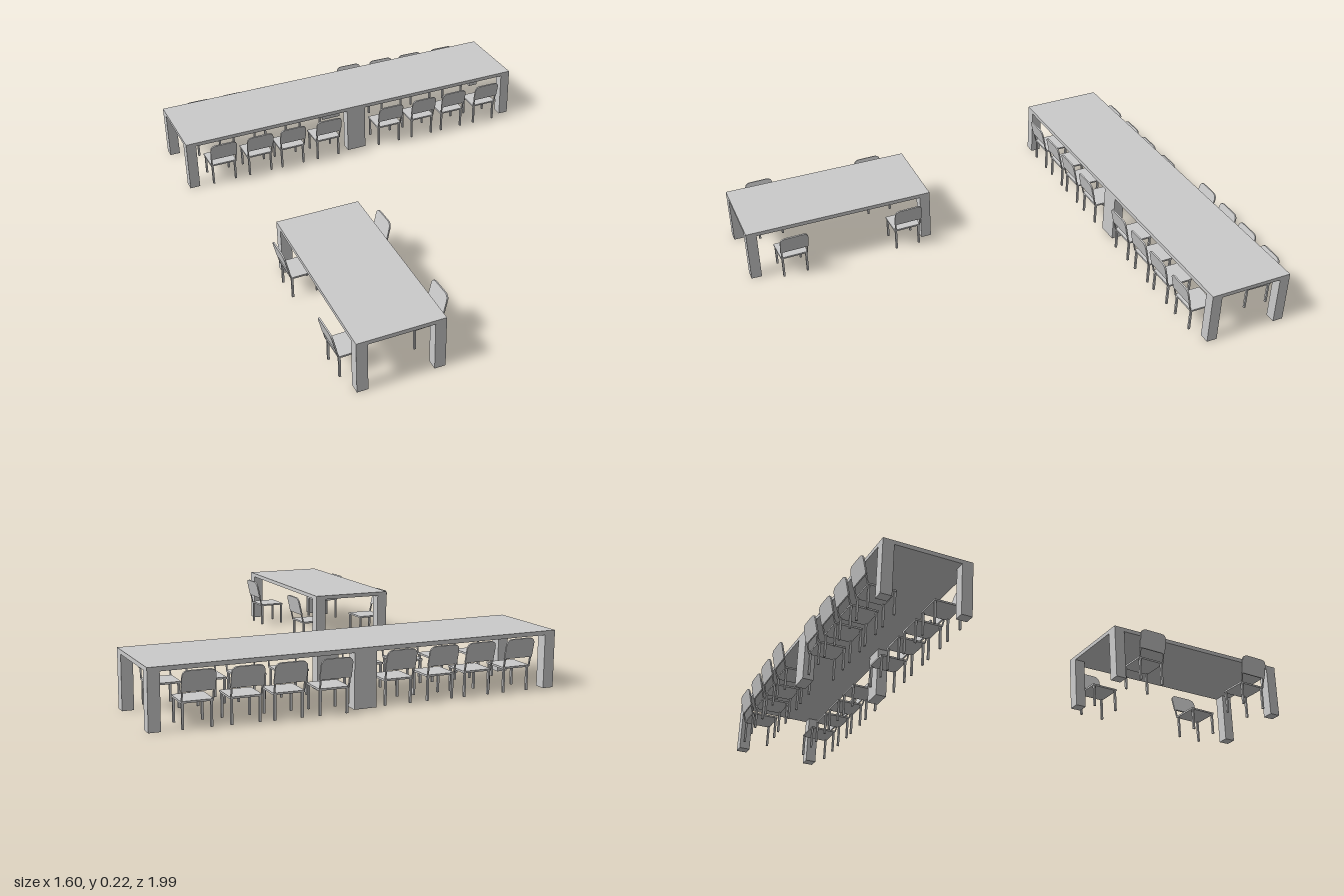
import * as THREE from 'three';

const material = new THREE.MeshStandardMaterial({ color: 0xcccccc, flatShading: true });
const rad = THREE.MathUtils.degToRad;

function box(name, w, h, d, x, y, z) {
  const mesh = new THREE.Mesh(new THREE.BoxGeometry(w, h, d), material);
  mesh.name = name;
  mesh.position.set(x, y, z);
  return mesh;
}

// Table with its long side on local x and square legs flush with the corners
function makeTable(length, width) {
  const table = new THREE.Group();
  const leg = 0.043, height = 0.217, top = 0.016;
  table.add(box('tableTop', length, top, width, 0, height - top / 2, 0));
  for (const sx of [-1, 1]) for (const sz of [-1, 1]) {
    table.add(box('tableLeg', leg, height - top, leg,
      sx * (length - leg) / 2, (height - top) / 2, sz * (width - leg) / 2));
  }
  return table;
}

// Back panel with rounded upper corners
function backGeometry(w, h, r, t) {
  const s = new THREE.Shape();
  s.moveTo(-w / 2, 0);
  s.lineTo(w / 2, 0);
  s.lineTo(w / 2, h - r);
  s.quadraticCurveTo(w / 2, h, w / 2 - r, h);
  s.lineTo(-w / 2 + r, h);
  s.quadraticCurveTo(-w / 2, h, -w / 2, h - r);
  s.closePath();
  return new THREE.ExtrudeGeometry(s, { depth: t, bevelEnabled: false, curveSegments: 5 })
    .translate(0, 0, -t / 2);
}
const panel = backGeometry(0.118, 0.076, 0.024, 0.006);

// Chair whose back is on local +z; the origin lies below the middle of the back
function makeChair() {
  const chair = new THREE.Group();
  chair.name = 'chair';
  const seatY = 0.092, rear = -0.016, depth = 0.108;
  chair.add(box('seat', 0.114, 0.007, depth, 0, seatY, rear - depth / 2));
  for (const sx of [-1, 1]) for (const z of [rear - 0.005, rear - depth + 0.005]) {
    chair.add(box('chairLeg', 0.008, seatY, 0.008, sx * 0.05, seatY / 2, z));
  }
  // Leaning back on two short posts
  const back = new THREE.Group();
  back.name = 'chairBack';
  back.position.set(0, seatY, rear);
  back.rotation.x = rad(13);
  const rest = new THREE.Mesh(panel, material);
  rest.name = 'backrest';
  rest.position.y = 0.038;
  back.add(rest);
  for (const sx of [-1, 1]) back.add(box('backPost', 0.005, 0.05, 0.005, sx * 0.054, 0.025, 0));
  chair.add(back);
  return chair;
}

export function createModel() {
  const model = new THREE.Group();

  // Two tables end to end form the long table
  const longTable = new THREE.Group();
  longTable.name = 'longTable';
  for (const sx of [-1, 1]) {
    const half = makeTable(0.785, 0.345);
    half.name = 'longTableHalf';
    half.position.x = sx * 0.3925;
    longTable.add(half);
  }
  longTable.position.set(-0.002, 0, -0.717);
  longTable.rotation.y = rad(6.3);
  model.add(longTable);

  // Single table standing crosswise
  const shortTable = makeTable(0.783, 0.34);
  shortTable.name = 'shortTable';
  shortTable.position.set(-0.336, 0, 0.585);
  shortTable.rotation.y = rad(95.4);
  model.add(shortTable);

  const addChair = (x, z, yaw) => {
    const chair = makeChair();
    chair.position.set(x, 0, z);
    chair.rotation.y = rad(yaw);
    model.add(chair);
  };

  // Rows of four: first x, first z, slope of the row, yaw
  const rows = [
    [-0.637, -0.838, -0.098, 186],
    [0.109, -0.95, -0.062, 185],
    [-0.607, -0.452, -0.098, 6],
    [0.174, -0.526, -0.098, 6],
  ];
  for (const [x, z, slope, yaw] of rows) {
    for (const step of [0, 0.164, 0.315, 0.483]) addChair(x + step, z + step * slope, yaw);
  }

  // Chairs along both sides of the short table
  addChair(-0.566, 0.362, 277);
  addChair(-0.527, 0.845, 277);
  addChair(-0.141, 0.29, 97);
  addChair(-0.092, 0.776, 97);

  return model;
}
